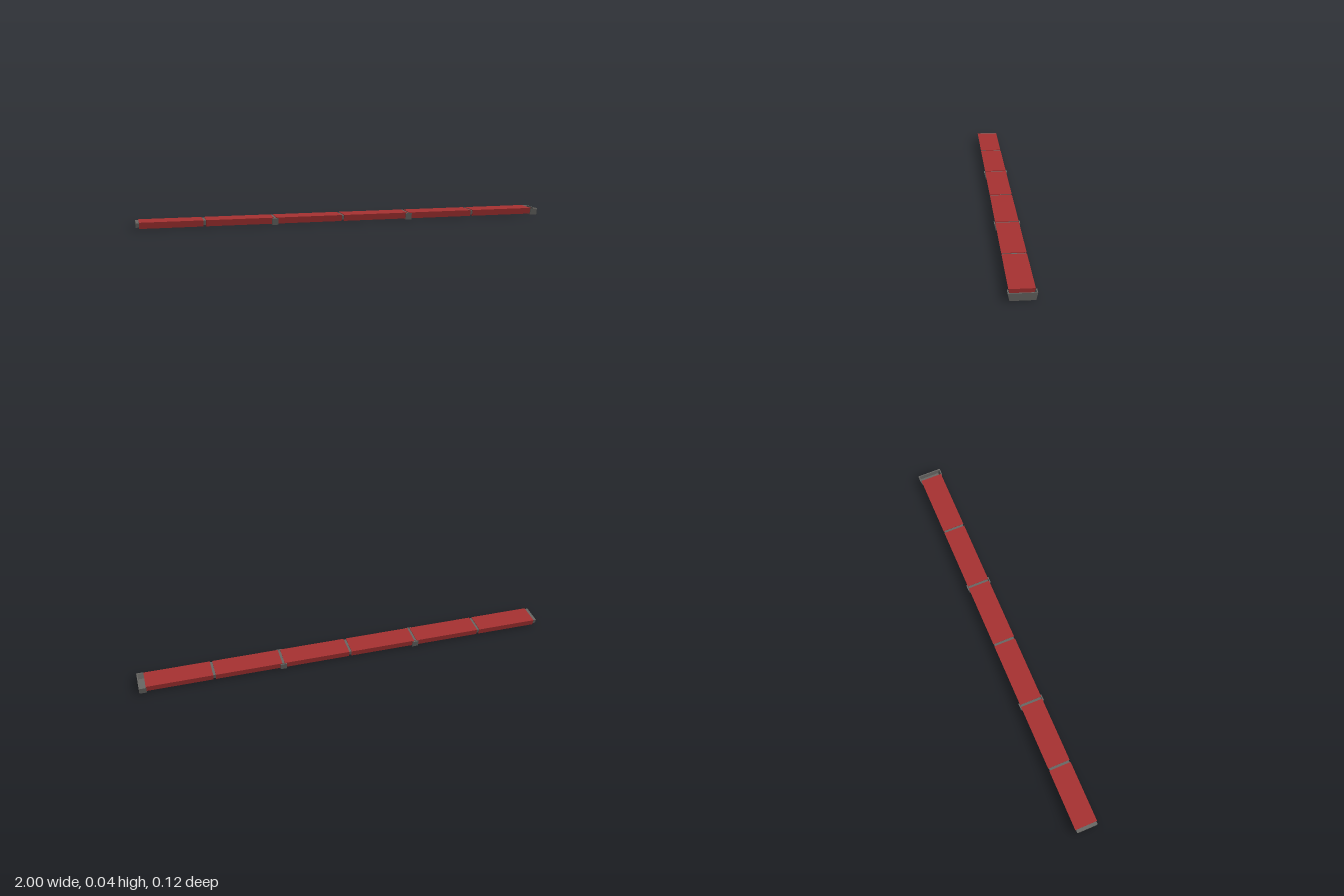
import * as THREE from 'three';

// Trapezoid outline in the z-y plane: half widths at bottom and top
const trapezoid = (bottom, top, y0, y1) => [
  [-bottom, y0], [bottom, y0], [top, y1], [-top, y1],
].map(([z, y]) => new THREE.Vector2(z, y));

// Extrude an outline along x from x0 to x1
function bar(name, points, x0, x1, material) {
  const geometry = new THREE.ExtrudeGeometry(new THREE.Shape(points), {
    depth: x1 - x0, bevelEnabled: false, steps: 1,
  });
  geometry.rotateY(Math.PI / 2).translate(x0, 0, 0);
  const mesh = new THREE.Mesh(geometry, material);
  mesh.name = name;
  return mesh;
}

export function createModel() {
  const red = new THREE.MeshStandardMaterial({ color: 0xa83232 });
  red.name = 'red panel';
  const grey = new THREE.MeshStandardMaterial({ color: 0x696865 });
  grey.name = 'grey fitting';

  const model = new THREE.Group();
  model.name = 'segmentedBar';

  // Inner core, seen in the gaps and as a tongue at one end
  model.add(bar('core', trapezoid(0.046, 0.051, 0.011, 0.0325), -1, 0.96, grey));

  // Six red panels with narrow gaps between them
  const pitch = 0.3325, firstGap = -0.684, halfGap = 0.006;
  const panelOutline = trapezoid(0.048, 0.0545, 0.005, 0.035);
  for (let i = 0; i < 6; i++) {
    const gap = firstGap + i * pitch;
    const start = i === 0 ? -0.985 : gap - pitch + halfGap;
    const end = i === 5 ? 0.967 : gap - halfGap;
    model.add(bar('panel', panelOutline, start, end, red));
  }

  // Open-topped cradle section shared by the brackets and the end cap
  const outer = trapezoid(0.053, 0.06, 0, 0.0325);
  const inner = trapezoid(0.0483, 0.0548, 0.0045, 0.0325);
  const cradle = [outer[3], outer[0], outer[1], outer[2], inner[2], inner[1], inner[0], inner[3]];
  for (const i of [1, 3]) {
    const x = firstGap + i * pitch;
    model.add(bar('bracket', cradle, x - 0.015, x + 0.015, grey));
  }

  // End cap: cradle closed by a wall
  const cap = new THREE.Group();
  cap.name = 'endCap';
  cap.add(bar('capSides', cradle, 0.965, 0.995, grey));
  cap.add(bar('capWall', outer, 0.995, 1, grey));
  model.add(cap);

  return model;
}
